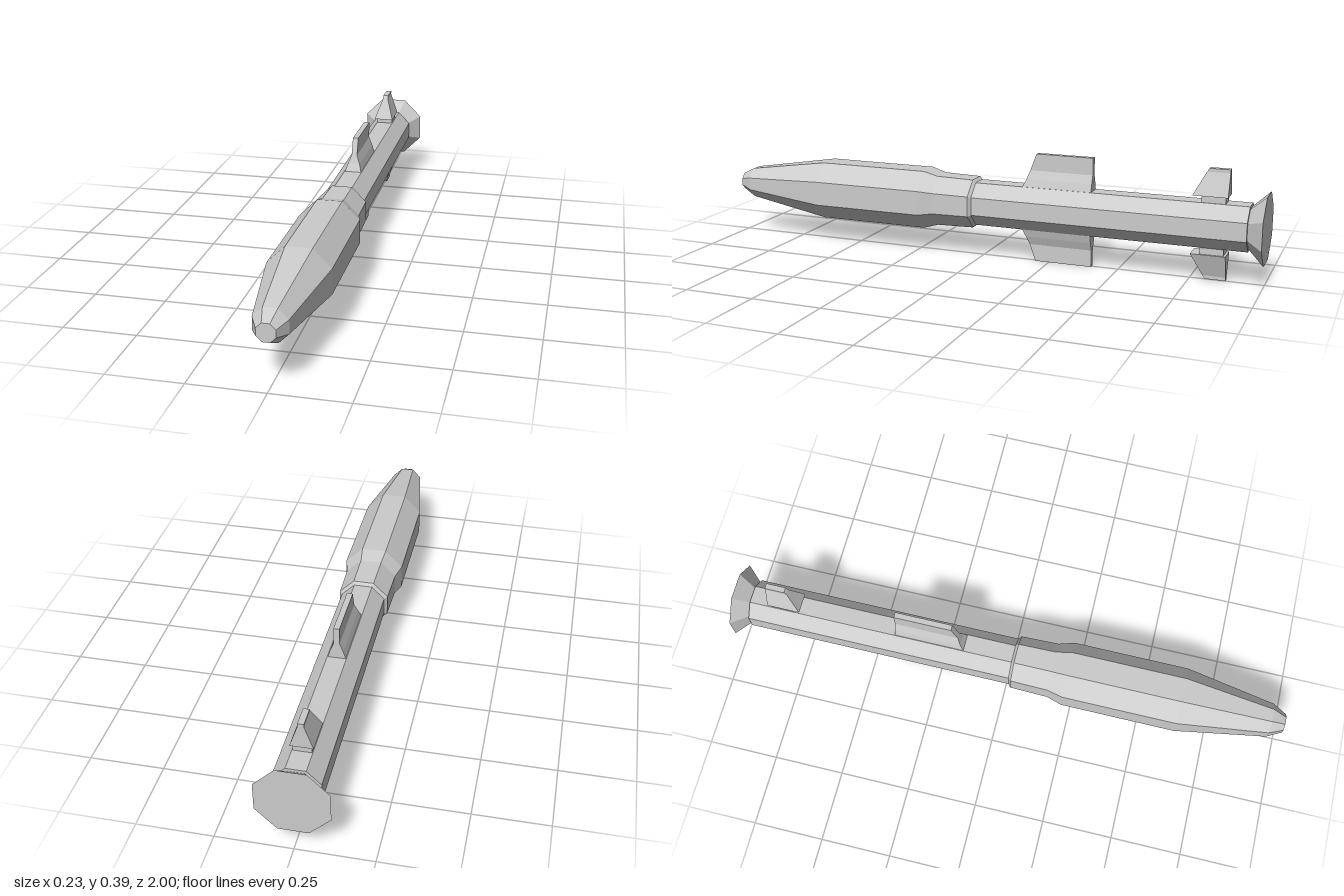
import * as THREE from 'three';

const AXIS = 0.1935; // height of the body's centre line

// Octagonal solid along z from [z, half width across flats], listed back to front
function octagon(name, profile, material) {
  const k = 1 / Math.cos(Math.PI / 8);
  const points = profile.map(([z, a]) => new THREE.Vector2(a * k, z));
  const geometry = new THREE.LatheGeometry(points, 8, Math.PI / 8);
  geometry.rotateX(Math.PI / 2);
  const mesh = new THREE.Mesh(geometry, material);
  mesh.name = name;
  mesh.position.y = AXIS;
  return mesh;
}

// Fin lofted upward through rectangles [height, half thickness, front z, back z]
function fin(name, sections, material) {
  const positions = [];
  const index = [];
  sections.forEach(([y, w, front, back]) => {
    positions.push(-w, y, front, w, y, front, w, y, back, -w, y, back);
  });
  for (let s = 0; s < sections.length - 1; s++) {
    for (let i = 0; i < 4; i++) {
      const a = s * 4 + i;
      const b = s * 4 + (i + 1) % 4;
      index.push(a, b, b + 4, a, b + 4, a + 4);
    }
  }
  const t = (sections.length - 1) * 4;
  index.push(t, t + 1, t + 2, t, t + 2, t + 3, 0, 2, 1, 0, 3, 2);
  const geometry = new THREE.BufferGeometry();
  geometry.setAttribute('position', new THREE.Float32BufferAttribute(positions, 3));
  geometry.setIndex(index);
  geometry.computeVertexNormals();
  const mesh = new THREE.Mesh(geometry, material);
  mesh.name = name;
  return mesh;
}

export function createModel() {
  const model = new THREE.Group();
  model.name = 'missile';
  const grey = new THREE.MeshStandardMaterial({ color: 0xcccccc, flatShading: true });

  // Body: slim rear tube, collar, wide warhead and tapered nose
  model.add(octagon('rearTube', [[-0.945, 0], [-0.945, 0.077], [0.02, 0.077]], grey));
  model.add(octagon('collar', [[0.02, 0.077], [0.03, 0.087], [0.165, 0.09], [0.22, 0.105]], grey));
  model.add(octagon('warhead', [[0.22, 0.105], [0.63, 0.105]], grey));
  model.add(octagon('nose', [[0.63, 0.105], [0.95, 0.055], [1, 0.03], [1, 0]], grey));
  model.add(octagon('tailFlare', [[-1, 0], [-1, 0.117], [-0.945, 0.067]], grey));

  // Upper and lower fins, the lower set turned half round the axis
  for (const side of ['upper', 'lower']) {
    const fins = new THREE.Group();
    fins.name = side + 'Fins';
    fins.position.y = AXIS;
    if (side === 'lower') fins.rotation.z = Math.PI;
    fins.add(fin('wing', [
      [0.07, 0.032, -0.152, -0.405],
      [0.104, 0.022, -0.168, -0.405],
      [0.134, 0.01, -0.178, -0.405],
      [0.1935, 0.01, -0.2, -0.405],
    ], grey));
    fins.add(fin('tailFinMount', [
      [0.07, 0.03, -0.785, -0.865],
      [0.104, 0.03, -0.785, -0.865],
    ], grey));
    fins.add(fin('tailFin', [
      [0.1, 0.037, -0.755, -0.873],
      [0.178, 0.01, -0.795, -0.873],
      [0.19, 0.01, -0.803, -0.873],
    ], grey));
    model.add(fins);
  }
  return model;
}
